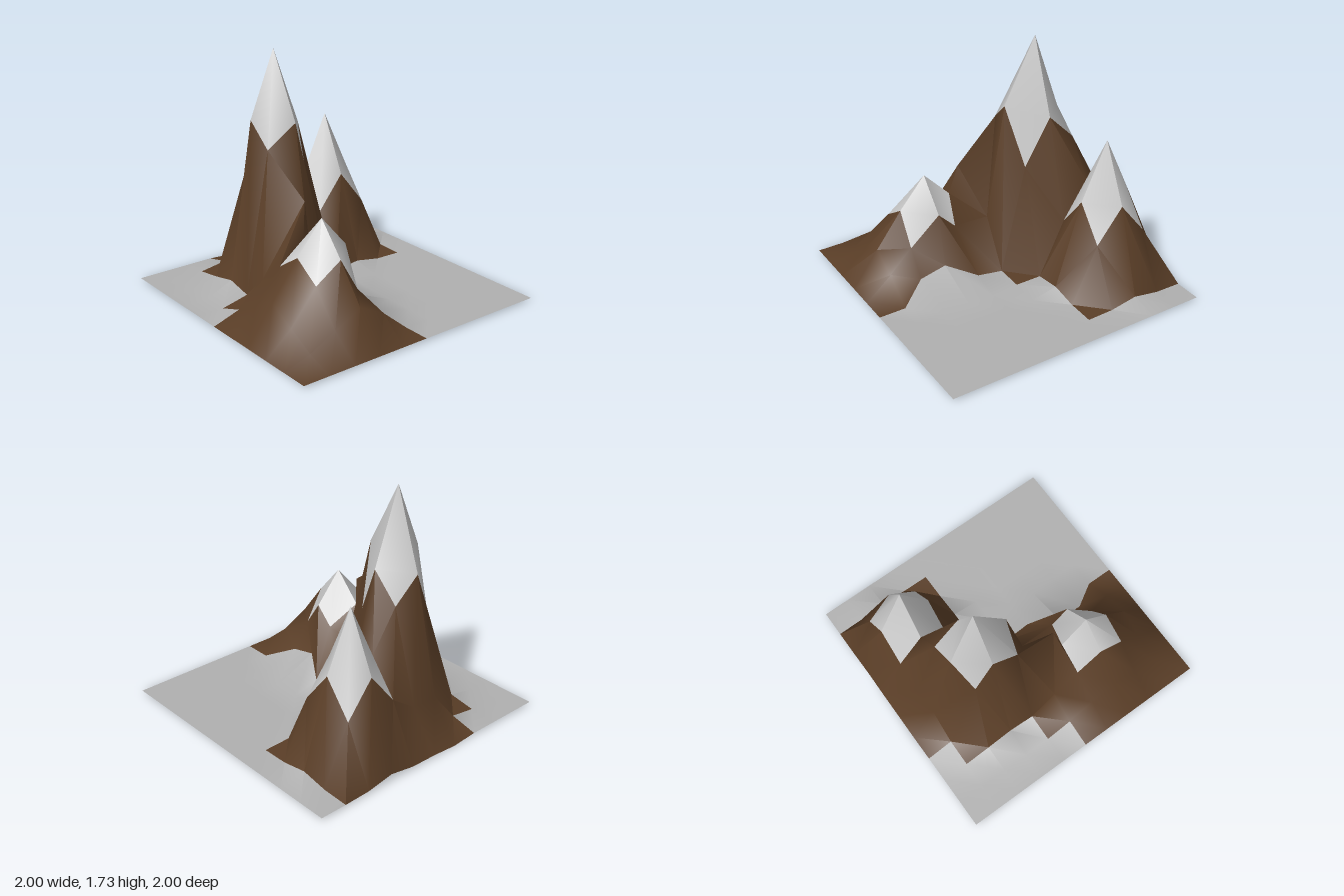
import * as THREE from 'three';
import { toCreasedNormals } from 'three/addons/utils/BufferGeometryUtils.js';

const N = 10, STEP = 0.2, BASE = 0.015;

// Peaks: grid column and row, then height by ring offset (0,0) (1,0) (1,1) (2,0) (2,1) (2,2)
const peaks = [
  { i: 4, j: 3, h: [1.73, 1.15, 0.83, 0.1, 0.06, 0.03] },
  { i: 7, j: 2, h: [1.12, 0.69, 0.44, 0.055, 0.02, 0.015] },
  { i: 3, j: 7, h: [0.77, 0.54, 0.41, 0.28, 0.18, 0.08] },
];

// Hand-shaped points of the terrain: 'column,row' -> [x, y, z]
const shaped = {
  '3,2': [-0.37, 0.84, -0.53], '5,2': [0, 0.98, -0.6],
  '3,3': [-0.4, 1.25, -0.4], '5,3': [0, 1.18, -0.4],
  '3,4': [-0.4, 1.08, -0.2], '4,4': [-0.2, 1.25, -0.15], '5,4': [-0.05, 0.81, -0.23], '6,4': [0.2, 0.03, -0.2],
  '2,5': [-0.6, 0.25, 0], '3,5': [-0.35, 0.8, 0.15], '4,5': [-0.2, 0.4, 0], '5,5': [0, 0.035, 0],
  '3,6': [-0.4, 0.56, 0.2], '4,6': [-0.2, 0.41, 0.27], '5,6': [0, 0.07, 0.2],
  '5,7': [-0.13, 0.155, 0.4], '4,8': [-0.26, 0.3, 0.6], '5,8': [-0.13, 0.11, 0.6],
  '5,9': [0, BASE, 0.8],
  '4,1': [-0.2, 0.3, -0.8], '5,1': [0, 0.3, -0.8], '4,0': [-0.2, 0, -1],
};

function point(i, j) {
  if (shaped[`${i},${j}`]) return shaped[`${i},${j}`];
  let y = BASE;
  for (const p of peaks) {
    const a = Math.abs(i - p.i), b = Math.abs(j - p.j);
    const far = Math.max(a, b), near = Math.min(a, b);
    if (far <= 2) y = Math.max(y, p.h[(far * (far + 1)) / 2 + near]);
  }
  return [-1 + i * STEP, y, -1 + j * STEP];
}

// Columns covered by rock in each row of cells: [first, end)
const rock = [[3, 9], [2, 9], [2, 9], [2, 9], [1, 6], [0, 5], [0, 5], [0, 5], [0, 5], [0, 5]];

// Cells around the main summit that fold along the other diagonal
const flipped = ['4,2', '3,4', '4,4'];

function cellPart(i, j) {
  const capped = peaks.some(p => (i === p.i || i === p.i - 1) && (j === p.j || j === p.j - 1));
  if (capped) return 'snowCaps';
  return i >= rock[j][0] && i < rock[j][1] ? 'mountainRock' : 'valleyGround';
}

export function createModel() {
  const group = new THREE.Group();
  group.name = 'mountainRange';

  // Whole terrain first, so normals run smoothly across the colour borders
  const index = [], verts = [], parts = [];
  for (let j = 0; j <= N; j++) for (let i = 0; i <= N; i++) verts.push(point(i, j));
  for (let j = 0; j < N; j++) {
    for (let i = 0; i < N; i++) {
      const a = j * (N + 1) + i, b = a + N + 1, c = b + 1, d = a + 1;
      if (flipped.includes(`${i},${j}`)) index.push(a, b, c, a, c, d);
      else index.push(a, b, d, b, c, d);
      parts.push(cellPart(i, j));
    }
  }
  const terrain = new THREE.BufferGeometry();
  terrain.setAttribute('position', new THREE.Float32BufferAttribute(verts.flat(), 3));
  terrain.setIndex(index);
  const creased = toCreasedNormals(terrain, Math.PI / 3);

  // Split the cells into ground, rock and snow
  const colors = { valleyGround: 0xb0b0b0, mountainRock: 0x5a3e27, snowCaps: 0xcccccc };
  for (const [name, color] of Object.entries(colors)) {
    const geometry = new THREE.BufferGeometry();
    for (const key of ['position', 'normal']) {
      const source = creased.getAttribute(key).array, out = [];
      parts.forEach((part, cell) => {
        if (part === name) out.push(...source.slice(cell * 18, cell * 18 + 18));
      });
      geometry.setAttribute(key, new THREE.Float32BufferAttribute(out, 3));
    }
    const material = new THREE.MeshStandardMaterial({ color, side: THREE.DoubleSide });
    const mesh = new THREE.Mesh(geometry, material);
    mesh.name = name;
    group.add(mesh);
  }
  return group;
}
